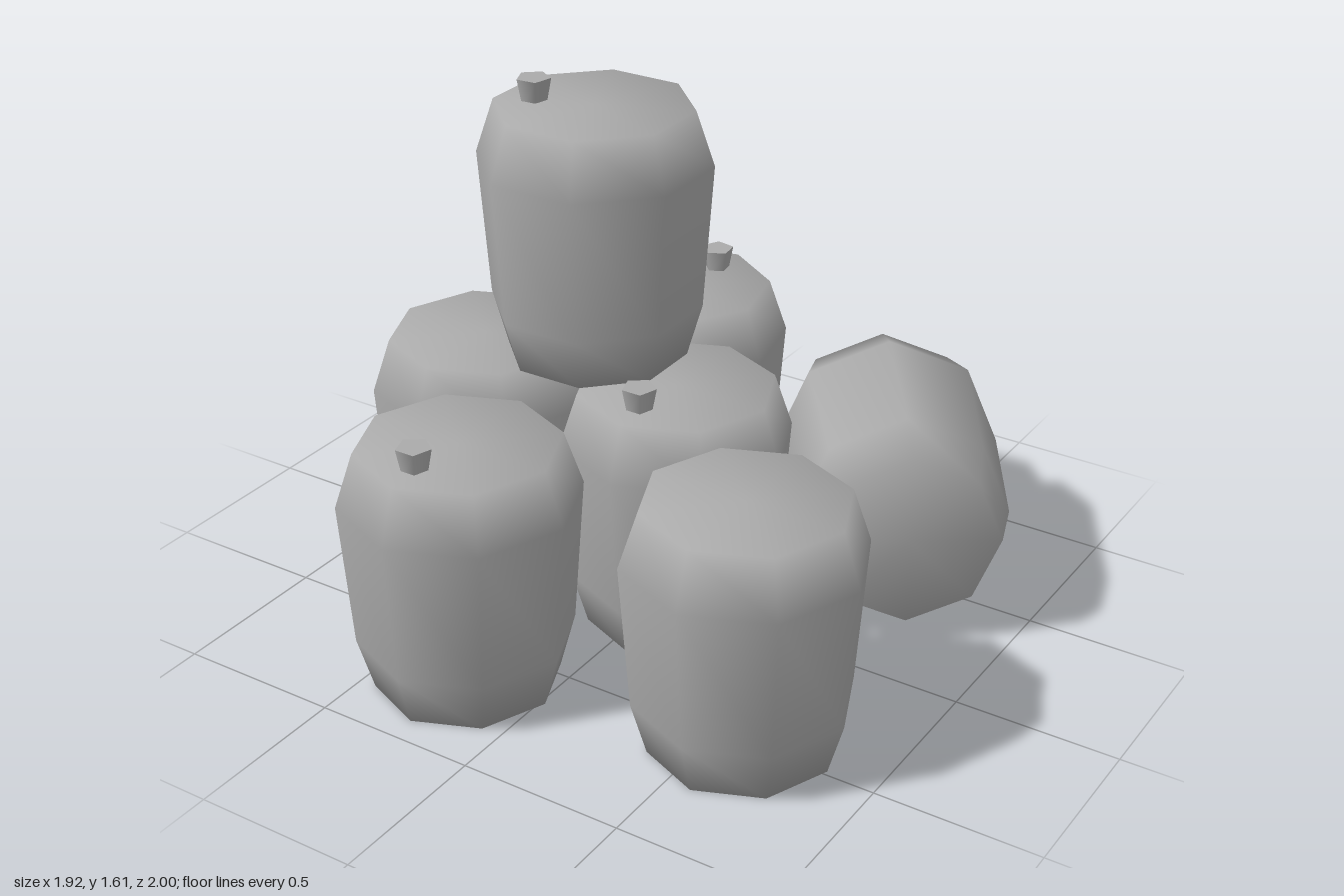
import * as THREE from 'three';

const HEIGHT = 0.77;

export function createModel() {
  const model = new THREE.Group();
  model.name = 'barrelPile';
  const grey = new THREE.MeshStandardMaterial({ color: 0xaaaaaa });
  grey.name = 'grey';

  // Eight-sided bulging body, closed at both ends
  const profile = [
    [0, 0], [0.272, 0], [0.318, 0.163], [0.35, 0.605], [0.295, HEIGHT], [0, HEIGHT],
  ].map(([r, y]) => new THREE.Vector2(r, y));
  const bodyGeometry = new THREE.LatheGeometry(profile, 8);

  // Five-sided plug, wider at its outer end
  const plugGeometry = new THREE.CylinderGeometry(0.052, 0.036, 0.085, 5);
  plugGeometry.rotateY(Math.PI);

  function addBarrel(name, x, y, z, turn = 0, sidePlug = false) {
    const barrel = new THREE.Group();
    barrel.name = name;
    const body = new THREE.Mesh(bodyGeometry, grey);
    body.name = 'barrelBody';
    const plug = new THREE.Mesh(plugGeometry, grey);
    plug.name = 'plug';
    if (sidePlug) {
      plug.position.set(0, 0.415, -0.352);
      plug.rotation.x = -Math.PI / 2;
    } else {
      plug.position.set(-0.013, HEIGHT + 0.024, 0.177);
    }
    barrel.add(body, plug);
    barrel.position.set(x, y, z);
    barrel.rotation.y = THREE.MathUtils.degToRad(turn);
    model.add(barrel);
    return barrel;
  }

  // Standing barrels
  addBarrel('frontBarrel', -0.255, 0, 0.645);
  addBarrel('middleBarrel', 0.065, 0, 0.025);
  addBarrel('backBarrel', -0.31, 0, -0.567, 170);
  addBarrel('rightBarrel', -0.61, 0, 0.04, 0, true);
  addBarrel('leftBarrel', 0.577, 0, 0.485, 0, true);

  // Barrel stacked on top
  addBarrel('topBarrel', -0.267, HEIGHT, -0.055, -67);

  // Barrel lying on its side, its top end towards the back
  const lying = addBarrel('lyingBarrel', 0.735, 0.351, -0.188);
  const axis = new THREE.Vector3(-0.57, 0, -0.822).normalize();
  const down = new THREE.Vector3(0, -1, 0);
  const across = new THREE.Vector3().crossVectors(down, axis);
  lying.quaternion.setFromRotationMatrix(new THREE.Matrix4().makeBasis(down, axis, across));

  return model;
}
